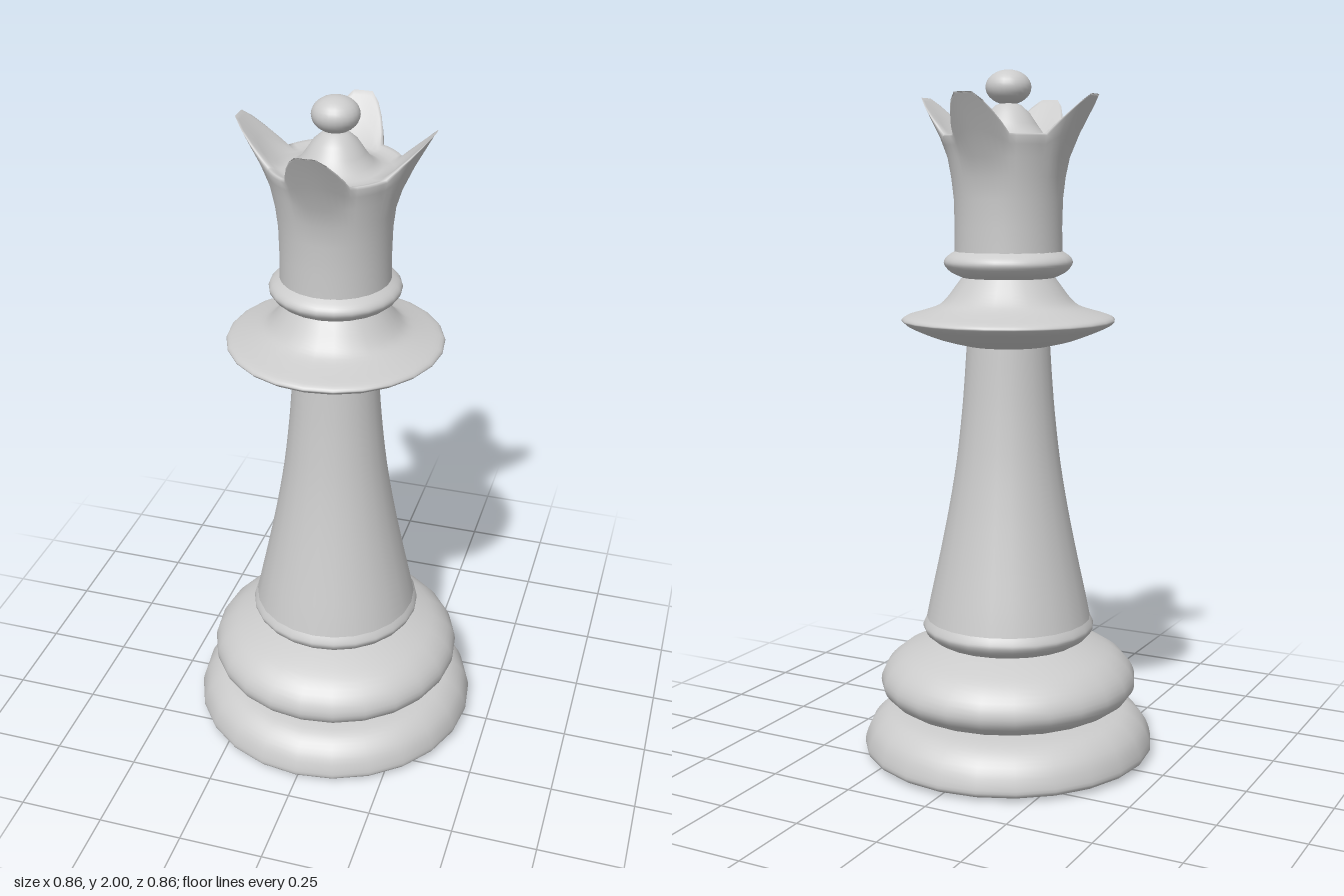
import * as THREE from 'three';
import { mergeVertices } from 'three/addons/utils/BufferGeometryUtils.js';

const SEGMENTS = 24;
const material = new THREE.MeshStandardMaterial({ color: 0xcccccc });

const toPoints = (pairs) => pairs.map(([r, y]) => new THREE.Vector2(r, y));

function addMesh(group, name, geometry) {
  const mesh = new THREE.Mesh(geometry, material);
  mesh.name = name;
  group.add(mesh);
  return mesh;
}

// Turned part: a smooth curve through [radius, height] pairs, bottom to top
function addTurned(group, name, pairs, steps = 3) {
  const profile = new THREE.SplineCurve(toPoints(pairs)).getPoints((pairs.length - 1) * steps);
  return addMesh(group, name, new THREE.LatheGeometry(profile, SEGMENTS));
}

// Crown: a turned cup whose rim is pulled up and out into four teeth.
// Each row is [radius, height, extra radius at a tooth, extra height at a tooth].
function crownGeometry() {
  const rows = [
    [0.155, 1.485, 0, 0], [0.154, 1.56, 0, 0], [0.156, 1.64, 0, 0], [0.163, 1.7, 0, 0],
    [0.172, 1.755, 0.008, 0], [0.18, 1.79, 0.035, 0.04], [0.187, 1.813, 0.078, 0.108],
    [0.182, 1.819, 0.088, 0.108], [0.172, 1.817, 0.088, 0.1],
    [0.162, 1.812, 0.05, 0.055], [0.148, 1.808, 0.012, 0.006], [0.125, 1.809, 0, 0],
    [0.1, 1.822, 0, 0], [0.08, 1.85, 0, 0], [0.06, 1.88, 0, 0], [0.035, 1.902, 0, 0], [0, 1.912, 0, 0],
  ];
  const sides = 64;
  const lathe = new THREE.LatheGeometry(toPoints(rows), sides);
  const pos = lathe.attributes.position;
  for (let i = 0; i < pos.count; i++) {
    const [r, y, dr, dy] = rows[i % rows.length];
    const angle = (Math.floor(i / rows.length) % sides) / sides * Math.PI * 2;
    // angular distance in degrees from the nearest tooth centre
    const quarter = Math.PI / 2;
    const away = Math.abs(angle - Math.round(angle / quarter) * quarter) * 180 / Math.PI;
    const t = 1 - THREE.MathUtils.clamp((away - 7) / 21, 0, 1);
    const radius = r + dr * t;
    pos.setXYZ(i, radius * Math.sin(angle), y + dy * t, radius * Math.cos(angle));
  }
  lathe.deleteAttribute('normal');
  lathe.deleteAttribute('uv');
  const geometry = mergeVertices(lathe, 1e-5);
  geometry.computeVertexNormals();
  return geometry;
}

export function createModel() {
  const queen = new THREE.Group();
  queen.name = 'chessQueen';

  // Base
  addMesh(queen, 'sole', new THREE.LatheGeometry(toPoints([[0, 0], [0.28, 0], [0.405, 0.006]]), SEGMENTS));
  addTurned(queen, 'foot', [
    [0.405, 0.006], [0.425, 0.016], [0.43, 0.035], [0.415, 0.08], [0.385, 0.115], [0.345, 0.136], [0.28, 0.145],
  ]);
  addTurned(queen, 'baseRing', [
    [0.28, 0.145], [0.325, 0.157], [0.365, 0.185], [0.38, 0.22], [0.365, 0.262],
    [0.325, 0.3], [0.27, 0.326], [0.215, 0.345],
  ]);

  // Stem
  addTurned(queen, 'lowerCollar', [[0.215, 0.345], [0.24, 0.362], [0.253, 0.382], [0.251, 0.396], [0.243, 0.412]]);
  addTurned(queen, 'stem', [
    [0.243, 0.412], [0.229, 0.48], [0.203, 0.6], [0.175, 0.74], [0.152, 0.88], [0.136, 1.02], [0.127, 1.13], [0.121, 1.222],
  ]);

  // Wide disc and neck
  addTurned(queen, 'disc', [
    [0.119, 1.22], [0.2, 1.24], [0.28, 1.272], [0.305, 1.288], [0.308, 1.296], [0.295, 1.306],
    [0.25, 1.319], [0.205, 1.335], [0.178, 1.358], [0.15, 1.395], [0.133, 1.418],
  ]);
  addTurned(queen, 'upperCollar', [
    [0.133, 1.416], [0.165, 1.431], [0.183, 1.45], [0.185, 1.464], [0.175, 1.478], [0.154, 1.492],
  ]);

  // Crown with its finial
  addMesh(queen, 'crown', crownGeometry());
  const ball = addMesh(queen, 'finialBall', new THREE.SphereGeometry(0.065, SEGMENTS, 16));
  ball.scale.y = 0.75;
  ball.position.y = 1.951;

  return queen;
}
